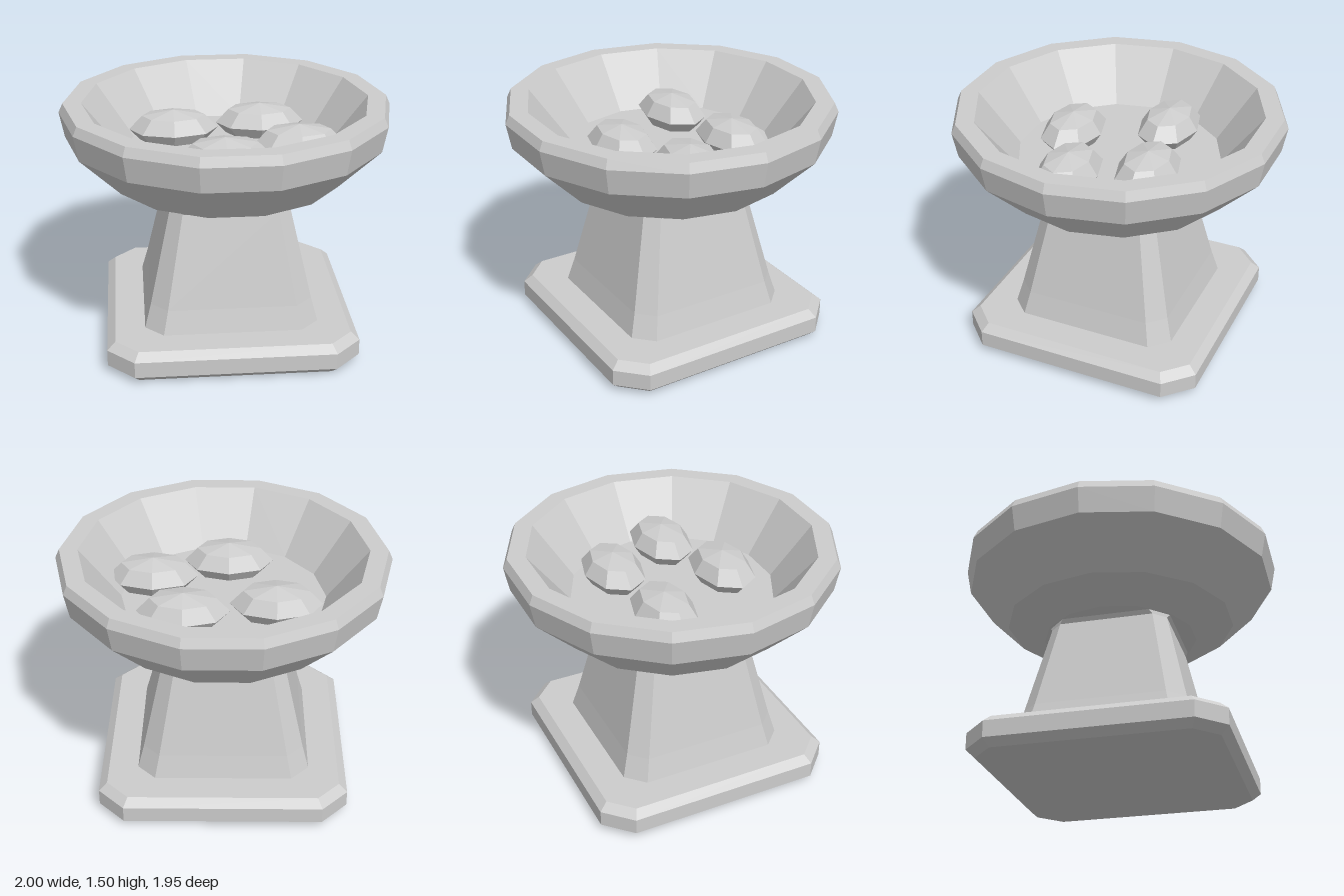
import * as THREE from 'three';

// Give every face its own flat normal
function faceted(geometry) {
  const g = geometry.index ? geometry.toNonIndexed() : geometry;
  g.computeVertexNormals();
  return g;
}

// Square with cut corners, lofted through rings of [y, half width, half flat side]
function cutSquareLoft(rings) {
  const positions = [];
  const indices = [];
  for (const [y, h, f] of rings) {
    const corners = [[h, f], [f, h], [-f, h], [-h, f], [-h, -f], [-f, -h], [f, -h], [h, -f]];
    for (const [x, z] of corners) positions.push(x, y, z);
  }
  for (let r = 0; r < rings.length - 1; r++) {
    for (let i = 0; i < 8; i++) {
      const a = r * 8 + i;
      const b = r * 8 + ((i + 1) % 8);
      indices.push(a, a + 8, b, b, a + 8, b + 8);
    }
  }
  const top = (rings.length - 1) * 8;
  for (let i = 1; i < 7; i++) {
    indices.push(0, i, i + 1);
    indices.push(top, top + i + 1, top + i);
  }
  const g = new THREE.BufferGeometry();
  g.setAttribute('position', new THREE.Float32BufferAttribute(positions, 3));
  g.setIndex(indices);
  return faceted(g);
}

export function createModel() {
  const model = new THREE.Group();
  model.name = 'pedestalBowl';

  const stone = new THREE.MeshStandardMaterial({ color: 0xcccccc });
  stone.name = 'pale grey stone';

  function add(name, geometry, parent = model) {
    const mesh = new THREE.Mesh(geometry, stone);
    mesh.name = name;
    parent.add(mesh);
    return mesh;
  }

  // Bevelled plinth
  add('plinth', cutSquareLoft([
    [0, 0.71, 0.575],
    [0.045, 0.76, 0.6],
    [0.145, 0.76, 0.6],
    [0.19, 0.71, 0.575],
  ]));

  // Tapered column with a small flare under the bowl
  add('column', cutSquareLoft([
    [0.185, 0.53, 0.42],
    [0.335, 0.49, 0.39],
    [0.905, 0.362, 0.288],
    [0.935, 0.38, 0.265],
  ]));

  // Fourteen-sided bowl: outside, rim, then inside down to the floor
  const profile = [
    [0, 0.93], [0.48, 0.93], [0.715, 1.03], [0.97, 1.285], [1, 1.44],
    [0.975, 1.495], [0.865, 1.495], [0.62, 1.18], [0, 1.18],
  ].map(([x, y]) => new THREE.Vector2(x, y));
  add('bowl', faceted(new THREE.LatheGeometry(profile, 14, Math.PI / 2)));

  // Oval stones lying in the bowl
  const stones = new THREE.Group();
  stones.name = 'stones';
  model.add(stones);
  const stoneShape = faceted(new THREE.SphereGeometry(1, 8, 4).scale(0.275, 0.12, 0.183));
  const spots = [[-0.31, -0.2], [0.235, -0.285], [0.43, 0.13], [-0.03, 0.32]];
  spots.forEach(([x, z], i) => {
    add('stone' + (i + 1), stoneShape, stones).position.set(x, 1.25, z);
  });

  return model;
}
